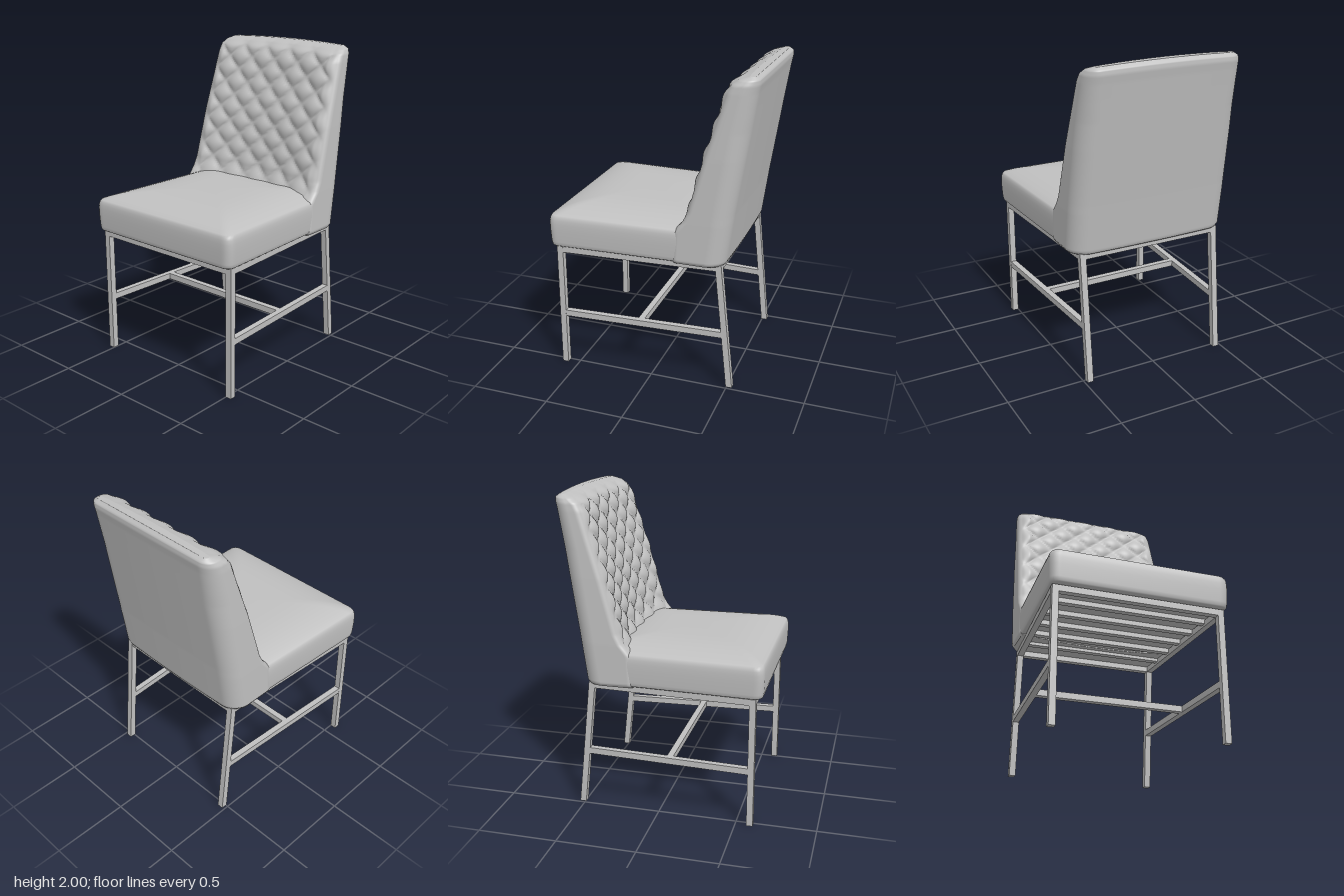
import * as THREE from 'three';

const grey = new THREE.MeshStandardMaterial({ color: 0xc0c0c0 });
grey.name = 'light grey';

// linear lookup in a table of [key, value] pairs
function lookup(table, k) {
  for (let i = 1; i < table.length; i++) {
    const [a, va] = table[i - 1], [b, vb] = table[i];
    if (k <= b) return va + (vb - va) * Math.max(0, (k - a) / (b - a));
  }
  return table[table.length - 1][1];
}

// skin closed rings (counter-clockwise from above, bottom to top)
function loft(rings, bridgeEnds) {
  const n = rings[0].length, index = [];
  for (let i = 0; i < rings.length - 1; i++) {
    for (let j = 0; j < n; j++) {
      const k = (j + 1) % n, a = i * n, b = a + n;
      index.push(a + j, a + k, b + k, a + j, b + k, b + j);
    }
  }
  if (bridgeEnds) { // close top and bottom with strips between front and back halves
    const top = (rings.length - 1) * n;
    for (let j = 0; j < n / 2 - 1; j++) {
      const f = j, g = j + 1, bf = n - 1 - j, bg = n - 2 - j;
      index.push(top + f, top + g, top + bg, top + f, top + bg, top + bf);
      index.push(f, bg, g, f, bf, bg);
    }
  }
  const geo = new THREE.BufferGeometry();
  geo.setAttribute('position', new THREE.Float32BufferAttribute(rings.flat(2), 3));
  geo.setIndex(index);
  geo.computeVertexNormals();
  return geo;
}

// seat: rounded outline, soft sides and a crowned top
function seatGeometry() {
  const r = 0.09, c = 1 - r, s = new THREE.Shape();
  s.moveTo(-c, -1).lineTo(c, -1);
  s.absarc(c, -c, r, -Math.PI / 2, 0).absarc(c, c, r, 0, Math.PI / 2);
  s.absarc(-c, c, r, Math.PI / 2, Math.PI).absarc(-c, -c, r, Math.PI, Math.PI * 1.5);
  const outline = s.getSpacedPoints(240).slice(0, 240);
  const profile = [[0, 0.84], [0.95, 0.84], [0.972, 0.84], [0.985, 0.846], [0.993, 0.87],
    [1, 0.95], [1, 0.99], [0.997, 1.015], [0.989, 1.033], [0.975, 1.045]];
  for (let i = 1; i <= 14; i++) {
    const t = 1 - i / 14;
    profile.push([0.975 * t, 1.045 + 0.065 * (1 - t ** 4)]);
  }
  return loft(profile.map(([k, y]) => outline.map((p) => {
    const z = 0.1275 - p.y * k * 0.5275;
    return [p.x * k * (0.5425 + 0.0375 * z), y, z];
  })));
}

// backrest: thick leaning shell with a diamond quilted, slightly hollow front
const frontZ = [[0.83, -0.14], [1.03, -0.15], [1.06, -0.172], [1.1, -0.205], [1.16, -0.235], [1.25, -0.26],
  [1.5, -0.33], [1.75, -0.41], [1.9, -0.455], [1.95, -0.48], [1.98, -0.52], [2, -0.58]];
const backZ = [[0.83, -0.47], [0.85, -0.478], [1.15, -0.52], [1.9, -0.64], [1.95, -0.65],
  [1.98, -0.648], [2, -0.625]];
const halfWidth = [[0.83, 0.525], [0.85, 0.537], [1.1, 0.537], [1.5, 0.527], [1.9, 0.51],
  [1.95, 0.505], [1.98, 0.49], [2, 0.455]];

function quilt(x, y) {
  const a = Math.PI * (x / 0.19 + y / 0.17), b = Math.PI * (x / 0.19 - y / 0.17);
  return Math.abs(Math.sin(a) * Math.sin(b)) ** 0.6;
}

function backrestGeometry() {
  const cols = 96, heights = [0.83, 0.836, 0.843, 0.85];
  for (let i = 1; i <= 100; i++) heights.push(0.85 + 1.08 * i / 100);
  for (let i = 1; i <= 12; i++) heights.push(1.93 + 0.07 * Math.sin(i / 12 * Math.PI / 2));
  const corner = (u, r, hw) => { // depth lost to a rounded vertical corner
    const e = Math.max(0, 1 - (1 - Math.abs(u)) * hw / r);
    return r * (1 - Math.sqrt(Math.max(0, 1 - e * e)));
  };
  return loft(heights.map((y) => {
    const zf = lookup(frontZ, y), zb = lookup(backZ, y), hw = lookup(halfWidth, y);
    const depth = zf - zb, rf = Math.min(0.045, depth * 0.3), rb = Math.min(0.11, depth * 0.5);
    const hollow = lookup([[1, 0.065], [1.2, 0.055], [1.6, 0.025], [1.95, 0.015], [2, 0]], y);
    const puff = lookup([[1, 0], [1.1, 0.026], [1.93, 0.03], [2, 0.004]], y);
    const front = [], back = [];
    for (let j = 0; j <= cols; j++) {
      const u = Math.sin((j / cols - 0.5) * Math.PI), x = u * hw;
      const inner = Math.min(1, Math.max(0, (0.96 - Math.abs(u)) / 0.1));
      const yy = y - 0.012 * u * u * Math.max(0, (y - 1.8) / 0.2);
      front.push([x, yy, zf - corner(u, rf, hw) - hollow * (1 - u * u) + puff * quilt(x, y) * inner]);
      back.unshift([x, yy, zb + corner(u, rb, hw) + 0.012 * u * u]);
    }
    return front.concat(back);
  }), true);
}

// bar of rectangular section whose ends stay level or upright: sheared box between two points
function bar(axis, from, to, w, h) {
  const size = [w, w, w];
  if (axis !== 'y') size[1] = h;
  const k = 'xyz'.indexOf(axis);
  size[k] = to[k] - from[k];
  const geo = new THREE.BoxGeometry(...size), p = geo.attributes.position;
  for (let i = 0; i < p.count; i++) {
    const v = [p.getX(i), p.getY(i), p.getZ(i)], t = v[k] / size[k] + 0.5;
    p.setXYZ(i, ...v.map((q, d) => (d === k ? 0 : q) + from[d] + (to[d] - from[d]) * t));
  }
  geo.computeVertexNormals();
  return geo;
}

export function createModel() {
  const chair = new THREE.Group();
  chair.name = 'diningChair';
  const add = (name, geo) => {
    const mesh = new THREE.Mesh(geo, grey);
    mesh.name = name;
    chair.add(mesh);
  };
  add('seat', seatGeometry());
  add('backrest', backrestGeometry());

  // legs, side rails and side stretchers
  const T = 0.04, sideX = (z) => 0.491 + 0.054 * (z - 0.06);
  for (const [side, s] of [['left', 1], ['right', -1]]) {
    add(side + 'FrontLeg', bar('y', [s * 0.52, 0, 0.59], [s * 0.52, 0.835, 0.59], T, T));
    add(side + 'RearLeg', bar('y', [s * 0.465, 0, -0.515], [s * 0.465, 0.835, -0.43], T, T));
    add(side + 'Rail', bar('z', [s * 0.465, 0.815, -0.44], [s * 0.52, 0.815, 0.6], T, T));
    add(side + 'Stretcher', bar('z', [s * 0.465, 0.365, -0.475], [s * 0.52, 0.365, 0.58], T, T));
  }

  // cross members
  add('crossStretcher', bar('x', [-0.48, 0.365, 0.07], [0.48, 0.365, 0.07], T, T));
  add('frontRail', bar('x', [-0.52, 0.815, 0.59], [0.52, 0.815, 0.59], T, T));
  add('rearRail', bar('x', [-0.465, 0.815, -0.43], [0.465, 0.815, -0.43], T, T));
  for (let i = 1; i <= 5; i++) {
    const z = -0.43 + 1.02 * i / 6, x = sideX(z);
    add('seatSlat' + i, bar('x', [-x, 0.825, z], [x, 0.825, z], T, 0.03));
  }
  return chair;
}
